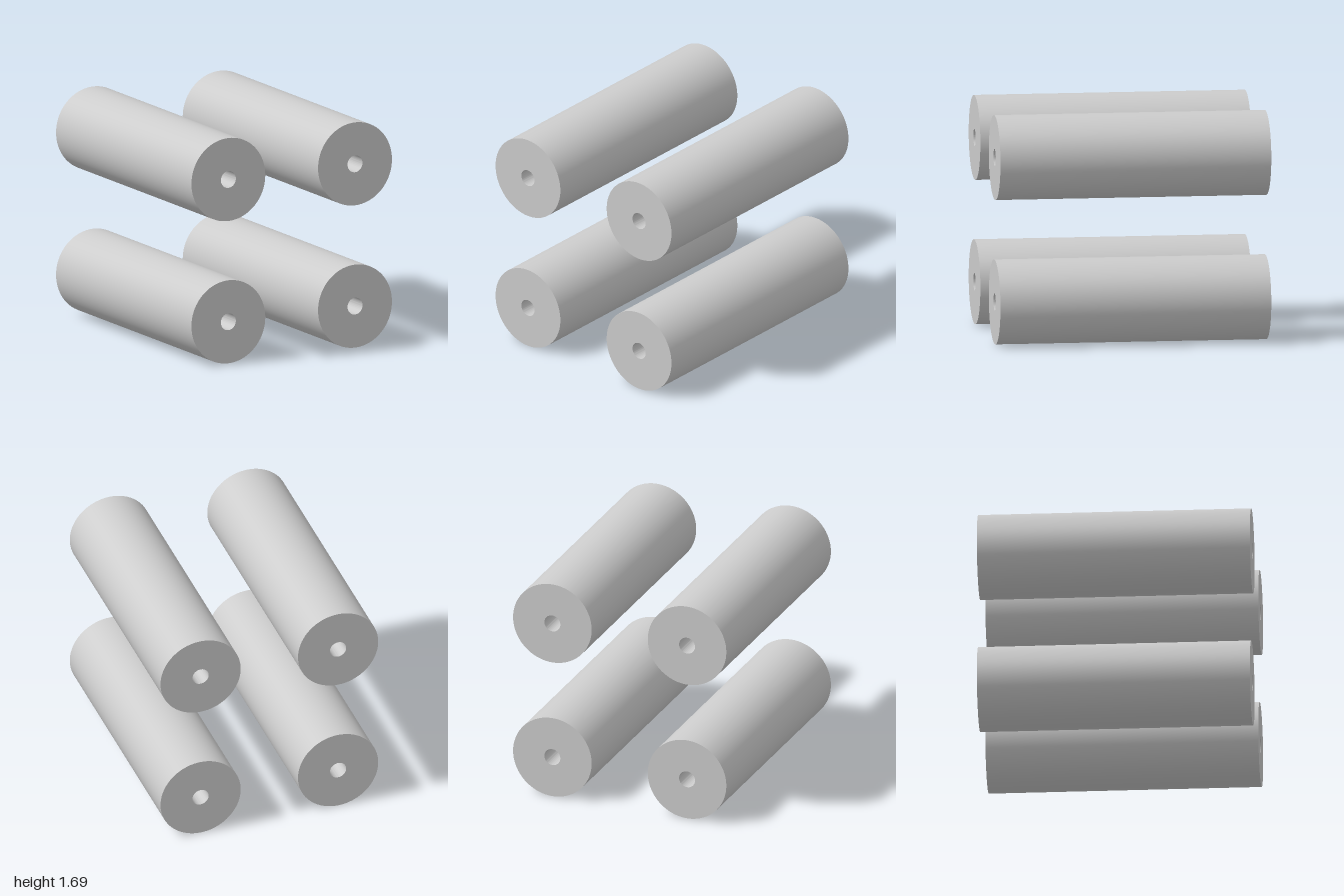
import * as THREE from 'three';
import { toCreasedNormals } from 'three/addons/utils/BufferGeometryUtils.js';

const RADIUS = 0.311;
const HOLE_RADIUS = 0.063;
const HOLE_DEPTH = 0.35;
const HALF_LENGTH = 1;
const HALF_SPACING = 0.533;

// Round bar along z with a blind hole bored into each end
function barGeometry() {
  const floor = HALF_LENGTH - HOLE_DEPTH;
  const profile = [
    [0, -floor], [HOLE_RADIUS, -floor], [HOLE_RADIUS, -HALF_LENGTH], [RADIUS, -HALF_LENGTH],
    [RADIUS, HALF_LENGTH], [HOLE_RADIUS, HALF_LENGTH], [HOLE_RADIUS, floor], [0, floor],
  ].map(([r, y]) => new THREE.Vector2(r, y));
  const lathe = new THREE.LatheGeometry(profile, 72);
  lathe.rotateX(Math.PI / 2);
  return toCreasedNormals(lathe, Math.PI / 6);
}

export function createModel() {
  const model = new THREE.Group();
  model.name = 'standoffSet';
  const material = new THREE.MeshStandardMaterial({ color: 0xcccccc });
  const geometry = barGeometry();

  // Four identical bars in a square arrangement
  for (const [row, y] of [['lower', RADIUS], ['upper', RADIUS + 2 * HALF_SPACING]]) {
    for (const [side, x] of [['Right', -HALF_SPACING], ['Left', HALF_SPACING]]) {
      const bar = new THREE.Mesh(geometry, material);
      bar.name = `${row}${side}Standoff`;
      bar.position.set(x, y, 0);
      model.add(bar);
    }
  }
  return model;
}
